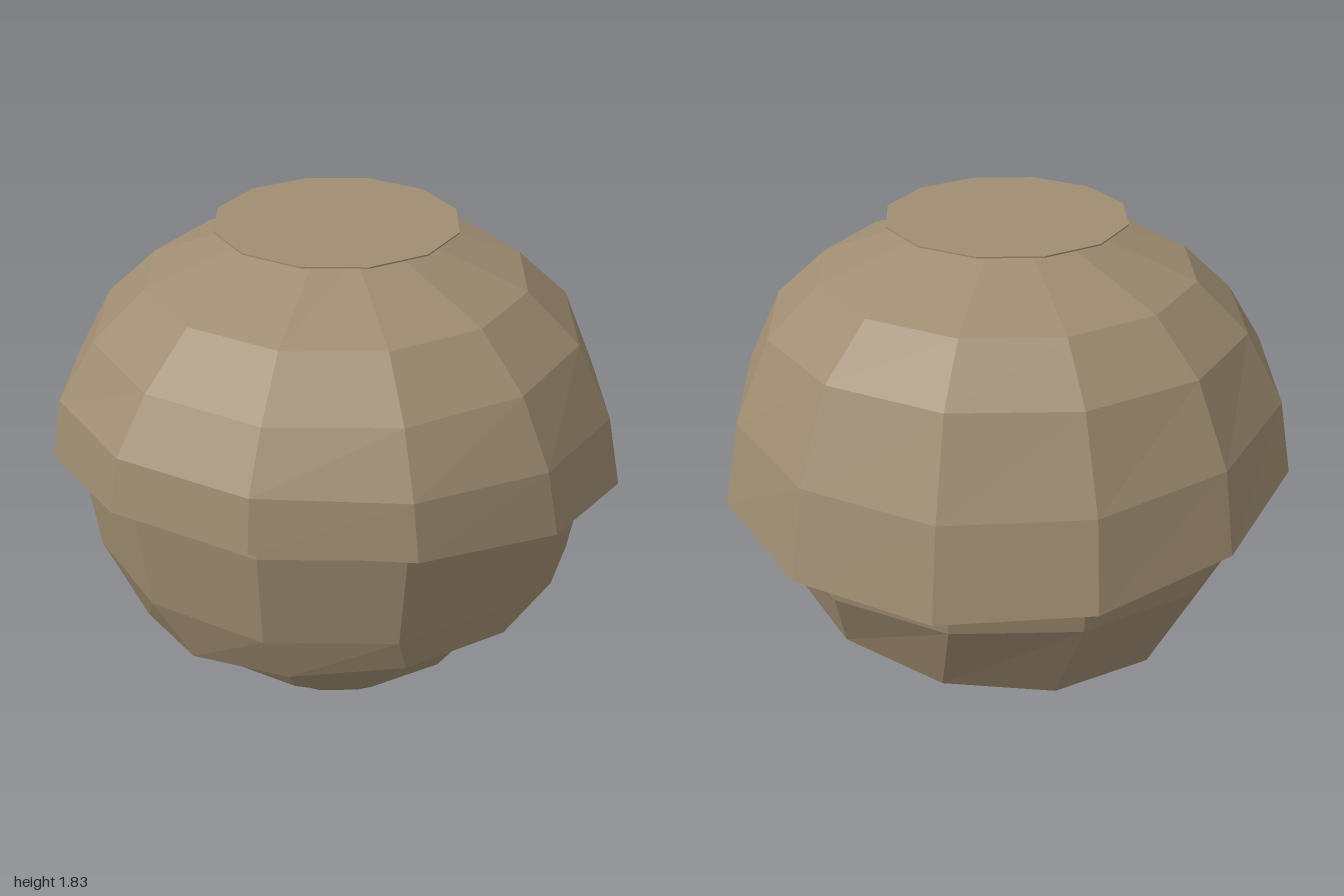
import * as THREE from 'three';

const SIDES = 12;

// One ring: centre (cx, y, cz), radii rx / rz, tilted by slopes sx and sz.
const ring = (y, r, cx = -0.01, cz = 0.025, sx = 0, sz = 0, rz = r) => ({ y, r, cx, cz, sx, sz, rz });

// Skin a list of rings, ordered bottom to top, with outward faces.
function loft(rings, { capBottom = false, capTop = false } = {}) {
  const pos = [], idx = [];
  for (const k of rings) {
    for (let i = 0; i < SIDES; i++) {
      const a = (i / SIDES) * Math.PI * 2;
      const dx = Math.sin(a) * k.r, dz = Math.cos(a) * k.rz;
      pos.push(k.cx + dx, k.y + k.sx * dx + k.sz * dz, k.cz + dz);
    }
  }
  for (let j = 0; j < rings.length - 1; j++) {
    for (let i = 0; i < SIDES; i++) {
      const n = (i + 1) % SIDES;
      const a = j * SIDES + i, b = j * SIDES + n;
      idx.push(a, b, b + SIDES, a, b + SIDES, a + SIDES);
    }
  }
  const top = (rings.length - 1) * SIDES;
  for (let i = 1; i < SIDES - 1; i++) {
    if (capBottom) idx.push(0, i + 1, i);
    if (capTop) idx.push(top, top + i, top + i + 1);
  }
  const g = new THREE.BufferGeometry();
  g.setAttribute('position', new THREE.Float32BufferAttribute(pos, 3));
  g.setIndex(idx);
  const flat = g.toNonIndexed();
  flat.computeVertexNormals();
  return flat;
}

export function createModel() {
  const group = new THREE.Group();
  const paper = new THREE.MeshStandardMaterial({ color: 0xa08d72, flatShading: true, side: THREE.DoubleSide });
  paper.name = 'paperBrown';
  const add = (name, geometry) => {
    const m = new THREE.Mesh(geometry, paper);
    m.name = name;
    group.add(m);
  };

  // Flared disc the nest hangs from
  add('mountingDisc', loft([
    ring(1.795, 0.22), ring(1.805, 0.27), ring(1.82, 0.36), ring(1.825, 0.415), ring(1.83, 0.415),
  ], { capTop: true }));

  // Large upper shell with a slanted open rim
  add('outerShell', loft([
    ring(0.98, 1, 0, 0, -0.08, 0.11),
    ring(1.23, 0.955, -0.01, 0.015, -0.045, 0.055),
    ring(1.48, 0.83),
    ring(1.65, 0.65),
    ring(1.8, 0.255),
  ]));

  // Middle shell, slanted the other way across
  add('middleShell', loft([
    ring(0.466, 0.74, 0.02, 0.09, 0.068, 0.145),
    ring(0.7, 0.845, -0.015, 0.02),
    ring(1.05, 0.9, -0.01, 0.02),
    ring(1.2, 0.88, -0.01, 0.02),
  ]));

  // Inner core tapering down to the entrance
  add('core', loft([
    ring(0.07, 0.145, -0.01, 0.21, 0, 0.54, 0.13),
    ring(0.1, 0.215, -0.01, 0.125, 0, 0.18, 0.225),
    ring(0.3, 0.52, -0.015, 0.03),
    ring(0.55, 0.7),
    ring(0.8, 0.77),
  ]));

  // Stepped entrance funnel, sunk along its tilted axis
  const funnel = [[0.145, 0], [0.12, 0.005], [0.105, 0.025], [0.075, 0.03], [0.045, 0.055]];
  add('entrance', loft(funnel.map(([r, d]) =>
    ring(0.07 + 0.88 * d, r, -0.01, 0.21 - 0.47 * d, 0, 0.54, r * 0.88)), { capTop: true }));

  return group;
}
